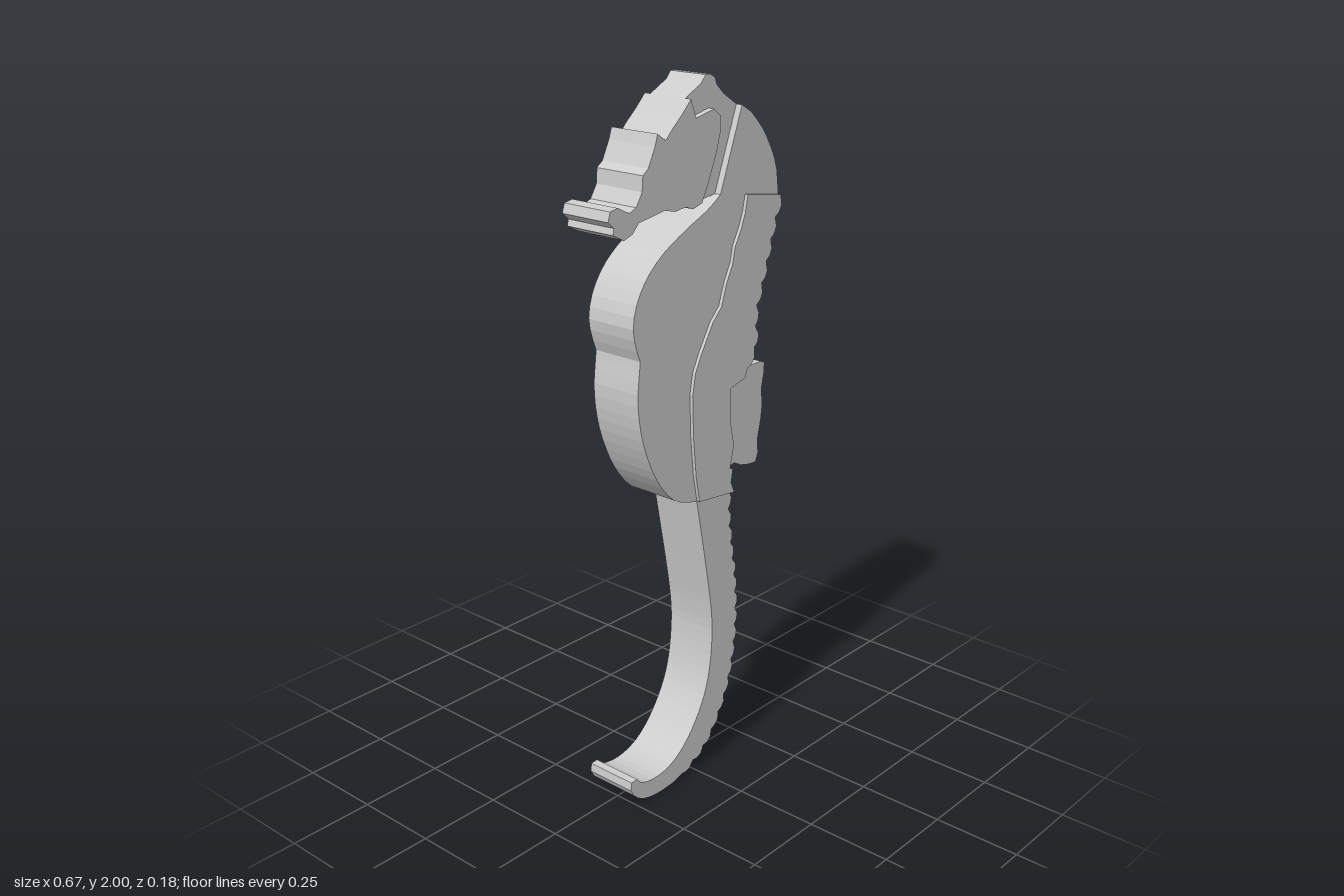
import * as THREE from 'three';

const material = new THREE.MeshStandardMaterial({ color: 0xcccccc, flatShading: true });

// Flat plate cut from an outline, centred on z = 0
function plate(name, outline, halfDepth) {
  const shape = new THREE.Shape(outline.map(([x, y]) => new THREE.Vector2(x, y)));
  const geometry = new THREE.ExtrudeGeometry(shape, { depth: halfDepth * 2, bevelEnabled: false });
  geometry.translate(0, 0, -halfDepth);
  const mesh = new THREE.Mesh(geometry, material);
  mesh.name = name;
  return mesh;
}

function spline(points) {
  return new THREE.CatmullRomCurve3(points.map(([x, y]) => new THREE.Vector3(x, y, 0)));
}

// Smooth edge through a few points
function smooth(points, steps) {
  return spline(points).getSpacedPoints(steps).map((p) => [p.x, p.y]);
}

// Bony edge: small knobs standing out to the right of the path
function ridged(points, count, height) {
  const curve = spline(points);
  const out = [];
  for (let i = 0; i < count; i++) {
    for (const [f, h] of [[0, 0], [0.25, 0.8], [0.6, 1], [0.85, 0.3]]) {
      const t = (i + f) / count;
      const p = curve.getPointAt(t);
      const d = curve.getTangentAt(t);
      out.push([p.x + d.y * h * height, p.y - d.x * h * height]);
    }
  }
  out.push(points[points.length - 1]);
  return out;
}

export function createModel() {
  const group = new THREE.Group();
  group.name = 'seahorse';

  // Face with snout, brow and cheek
  group.add(plate('face', [
    [-0.03, 1.95], [-0.065, 1.915], [-0.1, 1.885], [-0.125, 1.86], [-0.14, 1.87],
    [-0.155, 1.88], [-0.165, 1.85], [-0.19, 1.80], [-0.21, 1.785], [-0.213, 1.745],
    [-0.235, 1.71], [-0.26, 1.70], [-0.30, 1.72], [-0.328, 1.715], [-0.336, 1.69],
    [-0.315, 1.672], [-0.32, 1.655], [-0.28, 1.635], [-0.25, 1.645], [-0.225, 1.67],
    [-0.19, 1.675], [-0.13, 1.685], [-0.09, 1.675], [-0.05, 1.68], [-0.02, 1.67],
    [0.015, 1.68], [0.04, 1.73], [0.07, 1.80], [0.088, 1.86], [0.085, 1.895],
    [0.06, 1.915], [-0.01, 1.90],
  ], 0.078));

  // Thinner crest and gill strip between face and neck
  group.add(plate('crest', [
    [-0.03, 1.95], [0, 1.965], [0.03, 1.98], [0.048, 2], [0.065, 2], [0.085, 1.99],
    [0.093, 1.97], [0.12, 1.945], [0.172, 1.912], [0.088, 1.69], [0.015, 1.68],
    [0.04, 1.73], [0.06, 1.80], [0.07, 1.87], [0.05, 1.905], [-0.01, 1.895],
  ], 0.059));

  // Neck and belly
  group.add(plate('body', [
    [0.172, 1.912],
    ...smooth([[0.088, 1.69], [0.04, 1.66], [-0.05, 1.62], [-0.14, 1.572], [-0.2, 1.52],
      [-0.237, 1.46], [-0.25, 1.4], [-0.24, 1.35], [-0.225, 1.31]], 18),
    ...smooth([[-0.227, 1.29], [-0.235, 1.21], [-0.225, 1.12], [-0.2, 1.04],
      [-0.16, 0.96], [-0.1, 0.89], [-0.05, 0.865], [0, 0.855]], 16),
    [0.05, 0.855], [0.06, 0.9], [0.06, 1.25], [0.11, 1.4], [0.18, 1.5], [0.23, 1.6], [0.32, 1.65],
    ...smooth([[0.333, 1.652], [0.322, 1.73], [0.3, 1.78], [0.26, 1.84], [0.21, 1.89]], 8),
  ], 0.078));

  // Raised back band, notched where the fin sits
  group.add(plate('backBand', [
    [0.19, 1.675], [0.18, 1.63], [0.165, 1.59], [0.14, 1.545], [0.13, 1.5], [0.105, 1.45],
    [0.085, 1.39], [0.05, 1.355], [0.005, 1.28], [-0.02, 1.23], [-0.031, 1.17],
    [-0.027, 1.05], [-0.015, 0.93], [0, 0.855], [0.15, 0.838], [0.135, 0.87], [0.142, 0.91],
    [0.13, 0.915], [0.145, 0.98], [0.13, 1.05], [0.13, 1.15], [0.19, 1.165],
    ...ridged([[0.2, 1.19], [0.23, 1.25], [0.233, 1.35], [0.255, 1.42], [0.28, 1.5],
      [0.305, 1.58], [0.333, 1.652]], 8, 0.014),
  ], 0.088));

  // Dorsal fin
  group.add(plate('dorsalFin', [
    [0.2, 1.19], [0.19, 1.165], [0.13, 1.15], [0.13, 1.05], [0.145, 0.98], [0.13, 0.915],
    [0.16, 0.92], [0.19, 0.905], [0.225, 0.897], [0.255, 0.895], [0.266, 0.92], [0.262, 0.96],
    [0.276, 1.02], [0.281, 1.06], [0.276, 1.11], [0.287, 1.16], [0.287, 1.185], [0.27, 1.192],
  ], 0.078));

  // Curled tail with a ridged outer edge
  group.add(plate('tail', [
    ...smooth([[0, 0.852], [0.02, 0.75], [0.045, 0.62], [0.065, 0.5], [0.07, 0.42],
      [0.057, 0.3], [0.03, 0.22], [-0.03, 0.13], [-0.09, 0.08], [-0.15, 0.06], [-0.2, 0.06],
      [-0.235, 0.07], [-0.25, 0.088], [-0.27, 0.092], [-0.279, 0.075], [-0.268, 0.045],
      [-0.23, 0.015], [-0.17, 0.002], [-0.1, 0.005]], 50),
    ...ridged([[-0.06, 0.017], [0.03, 0.065], [0.09, 0.135], [0.137, 0.23], [0.165, 0.35],
      [0.172, 0.47], [0.165, 0.57], [0.15, 0.67], [0.137, 0.78], [0.14, 0.842]], 17, 0.011),
  ], 0.078));

  return group;
}
